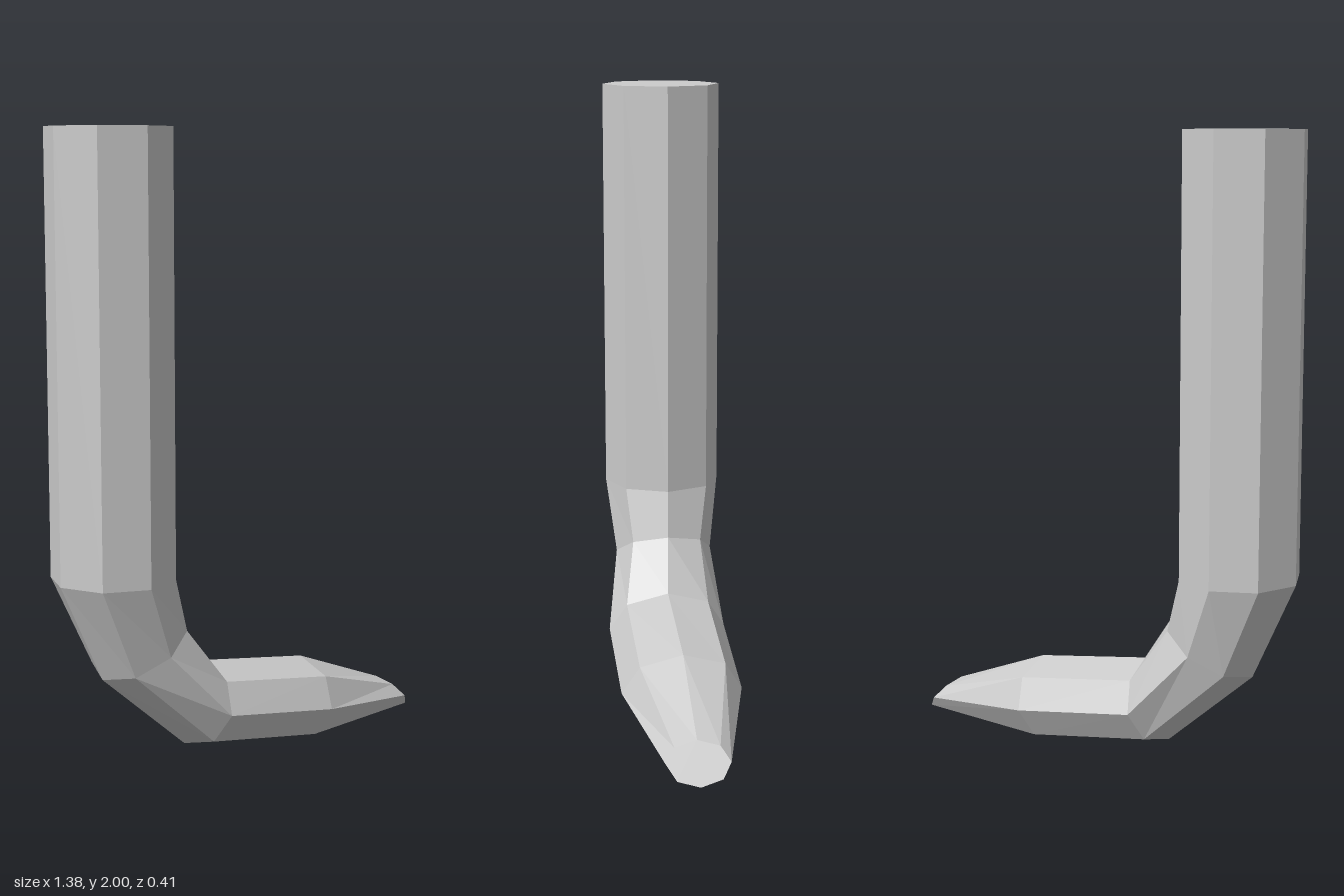
import * as THREE from 'three';

const SIDES = 8;

// Cross-sections from shaft top to toe:
// [inner/upper x, y, outer/lower x, y, centre z, half width in z]
const sections = [
  [-0.305, 2.0, -0.69, 2.0, -0.013, 0.195],
  [-0.305, 0.64, -0.69, 0.64, -0.013, 0.195],
  [-0.265, 0.49, -0.545, 0.328, -0.008, 0.163],
  [-0.165, 0.325, -0.24, 0.065, 0.005, 0.195],
  [0.25, 0.265, 0.185, 0.0, 0.008, 0.193],
  [0.597, 0.13, 0.687, 0.018, 0.012, 0.098],
];

// Eight-sided ring spanned between its inner and outer points
function ring([ix, iy, ox, oy, z, half]) {
  const points = [];
  for (let j = 0; j < SIDES; j++) {
    const a = (j / SIDES) * Math.PI * 2;
    const t = (1 + Math.cos(a)) / 2;
    points.push([ox + (ix - ox) * t, oy + (iy - oy) * t, z + half * Math.sin(a)]);
  }
  return points;
}

function limbGeometry() {
  const rings = sections.map(ring);
  const positions = [];
  const tri = (a, b, c) => positions.push(...a, ...b, ...c);

  // Side walls
  for (let i = 0; i < rings.length - 1; i++) {
    for (let j = 0; j < SIDES; j++) {
      const k = (j + 1) % SIDES;
      const [a, b, c, d] = [rings[i][j], rings[i][k], rings[i + 1][j], rings[i + 1][k]];
      tri(a, b, c);
      tri(b, d, c);
    }
  }

  // Flat caps on the shaft top and the toe
  const top = rings[0];
  const toe = rings[rings.length - 1];
  for (let j = 1; j < SIDES - 1; j++) {
    tri(top[0], top[j + 1], top[j]);
    tri(toe[0], toe[j], toe[j + 1]);
  }

  const geometry = new THREE.BufferGeometry();
  geometry.setAttribute('position', new THREE.Float32BufferAttribute(positions, 3));
  geometry.computeVertexNormals();
  return geometry;
}

export function createModel() {
  const group = new THREE.Group();
  group.name = 'bentLeg';
  const material = new THREE.MeshStandardMaterial({ color: 0xcccccc, flatShading: true });
  const limb = new THREE.Mesh(limbGeometry(), material);
  limb.name = 'legAndFoot';
  group.add(limb);
  return group;
}
